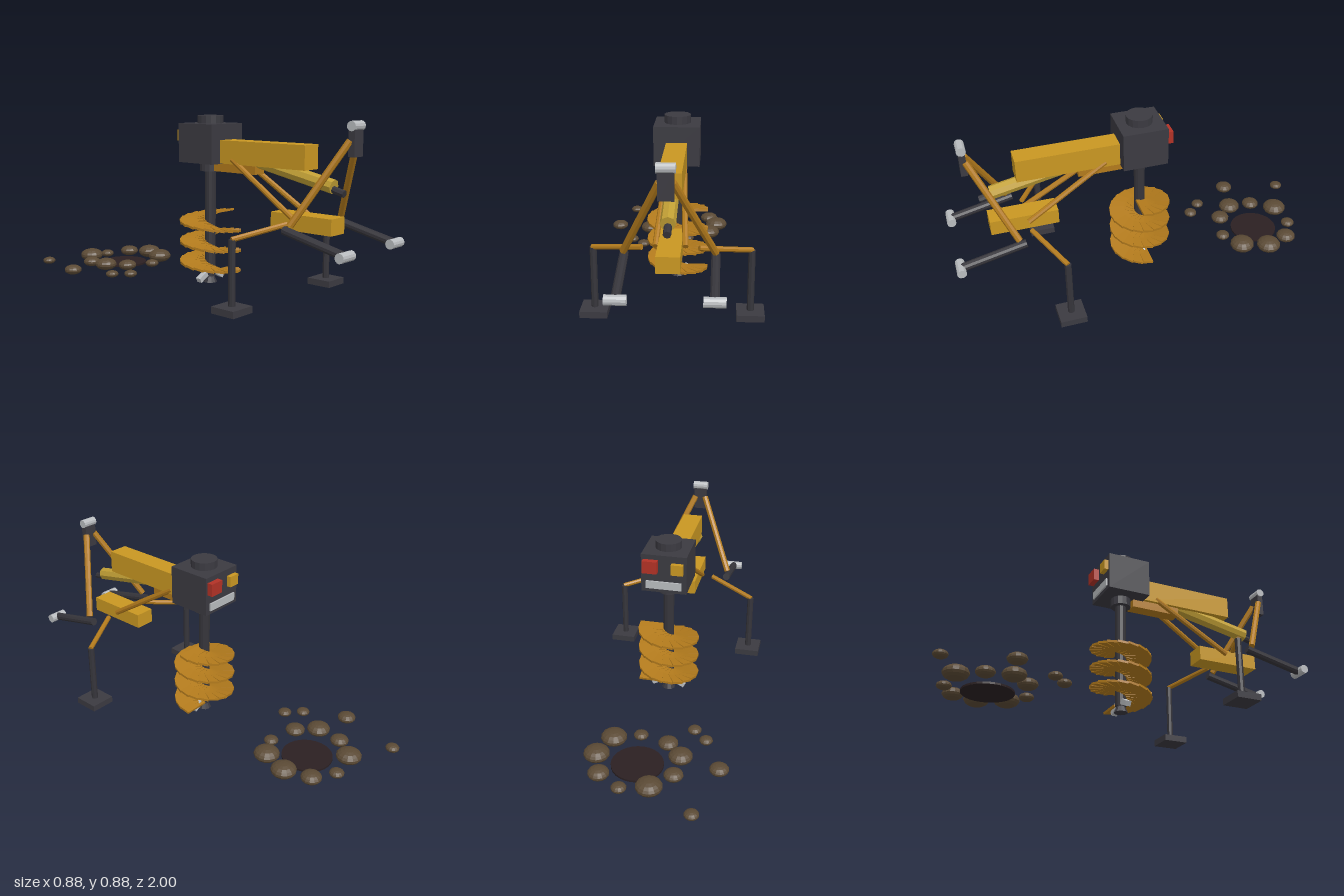
import * as THREE from 'three';

const mat = (name, color) => {
  const m = new THREE.MeshStandardMaterial({ color });
  m.name = name;
  return m;
};

export function createModel() {
  const yellow = mat('yellow paint', 0xc99722);
  const ochre = mat('worn ochre paint', 0xb27a1c);
  const ram = mat('ram yellow', 0xc2a035);
  const dark = mat('dark steel', 0x3b3a41);
  const shaftDark = mat('shaft steel', 0x36353b);
  const silver = mat('bright steel', 0xb9bcbf);
  const red = mat('red reflector', 0xb23226);
  const soil = mat('soil', 0x5b4a35);
  const holeDark = mat('hole', 0x2b2022);

  const model = new THREE.Group();
  model.name = 'postHoleDigger';

  const add = (name, geometry, material, x = 0, y = 0, z = 0, parent = model) => {
    // faceted normals
    const g = geometry.index ? geometry.toNonIndexed() : geometry;
    g.computeVertexNormals();
    const mesh = new THREE.Mesh(g, material);
    mesh.name = name;
    mesh.position.set(x, y, z);
    parent.add(mesh);
    return mesh;
  };
  const box = (name, w, h, d, material, x, y, z, parent) =>
    add(name, new THREE.BoxGeometry(w, h, d), material, x, y, z, parent);
  const cyl = (name, rTop, rBottom, h, sides, material, x, y, z) =>
    add(name, new THREE.CylinderGeometry(rTop, rBottom, h, sides), material, x, y, z);
  // round bar between two points
  const bar = (name, a, b, r, sides, material) => {
    const p = new THREE.Vector3(...a), q = new THREE.Vector3(...b);
    const dir = q.clone().sub(p);
    const mid = p.clone().add(q).multiplyScalar(0.5);
    const mesh = cyl(name, r, r, dir.length(), sides, material, mid.x, mid.y, mid.z);
    mesh.quaternion.setFromUnitVectors(new THREE.Vector3(0, 1, 0), dir.normalize());
    return mesh;
  };

  // Gearbox, cap and output collar
  const axisZ = 0.013;
  box('gearbox', 0.23, 0.2, 0.23, dark, 0, 0.735, axisZ);
  cyl('gearboxCap', 0.067, 0.067, 0.04, 16, dark, 0, 0.855, axisZ);
  cyl('outputCollar', 0.053, 0.053, 0.045, 14, dark, 0, 0.6125, axisZ);

  // Rear panel: reflectors and plate
  box('redReflector', 0.075, 0.065, 0.03, red, 0.067, 0.777, -0.116);
  box('amberReflector', 0.06, 0.055, 0.025, yellow, -0.07, 0.772, -0.113);
  box('rearPlate', 0.18, 0.04, 0.009, silver, 0, 0.675, -0.106);

  // Boom with its lower rib
  box('boom', 0.105, 0.117, 0.52, yellow, 0, 0.6965, 0.388);
  box('boomRib', 0.07, 0.046, 0.27, ochre, 0, 0.617, 0.205);

  // Hydraulic ram
  bar('ramBody', [0, 0.57, 0.775], [0, 0.66, 0.33], 0.035, 8, ram);
  bar('ramRod', [0, 0.542, 0.832], [0, 0.575, 0.7], 0.018, 8, shaftDark);

  // Top link and hitch crossbar
  box('topLink', 0.07, 0.132, 0.032, dark, 0, 0.779, 0.884);
  bar('topLinkPin', [-0.041, 0.85, 0.885], [0.041, 0.85, 0.885], 0.023, 12, silver);
  box('crossbar', 0.107, 0.078, 0.345, yellow, 0, 0.39, 0.628);

  for (const s of [-1, 1]) {
    // A-frame, boom struts and lower links
    bar('aFrameArm', [s * 0.028, 0.785, 0.873], [s * 0.205, 0.405, 0.683], 0.017, 8, ochre);
    bar('boomStrut', [s * 0.068, 0.402, 0.61], [s * 0.042, 0.66, 0.2], 0.014, 8, ochre);
    bar('lowerLink', [s * 0.205, 0.308, 0.977], [s * 0.205, 0.382, 0.65], 0.021, 10, shaftDark);
    bar('lowerLinkPin', [s * 0.158, 0.308, 0.977], [s * 0.253, 0.308, 0.977], 0.023, 12, silver);
    // Outrigger arm, leg and foot
    bar('outriggerArm', [s * 0.13, 0.395, 0.61], [s * 0.376, 0.342, 0.488], 0.013, 8, ochre);
    cyl('outriggerLeg', 0.017, 0.017, 0.307, 8, shaftDark, s * 0.372, 0.188, 0.488);
    box('outriggerFoot', 0.133, 0.033, 0.133, dark, s * 0.372, 0.019, 0.488);
    // Auger cutting teeth
    box('cuttingTooth', 0.06, 0.026, 0.03, silver, s * 0.062, 0.037, axisZ).rotation.z = -s * 0.5;
  }

  // Auger: shaft, pilot point and stepped spiral of plates
  cyl('augerShaft', 0.029, 0.029, 0.56, 12, shaftDark, 0, 0.315, axisZ);
  cyl('pilotPoint', 0.02, 0.036, 0.036, 10, dark, 0, 0.02, axisZ);
  const flight = new THREE.Group();
  flight.name = 'augerFlight';
  flight.position.set(0, 0, axisZ);
  model.add(flight);
  const turns = 3, perTurn = 18;
  for (let i = 0; i <= turns * perTurn; i++) {
    const a = (i / perTurn) * Math.PI * 2;
    const plate = box('flightPlate', 0.135, 0.012, 0.055, ochre,
      Math.cos(a) * 0.0905, 0.05 + (i / perTurn) * 0.106, Math.sin(a) * 0.0905, flight);
    plate.rotation.set(-0.2, -a, 0, 'YXZ');
  }

  // Dug hole and loose soil mounds: [x, z, radius]
  cyl('hole', 0.127, 0.127, 0.01, 28, holeDark, 0, 0.005, -0.67);
  const mounds = [
    [-0.32, -0.965, 0.035], [-0.39, -0.65, 0.047], [-0.10, -0.847, 0.064],
    [0.037, -0.868, 0.037], [0.153, -0.80, 0.052], [0.20, -0.672, 0.064],
    [0.153, -0.534, 0.065], [0.032, -0.47, 0.037], [-0.116, -0.513, 0.05],
    [-0.196, -0.603, 0.059], [-0.19, -0.735, 0.047], [-0.29, -0.44, 0.034],
    [-0.22, -0.37, 0.035],
  ];
  for (const [x, z, r] of mounds) {
    add('soilMound', new THREE.SphereGeometry(r, 14, 9), soil, x, r * 0.58, z).scale.y = 0.56;
  }

  return model;
}
